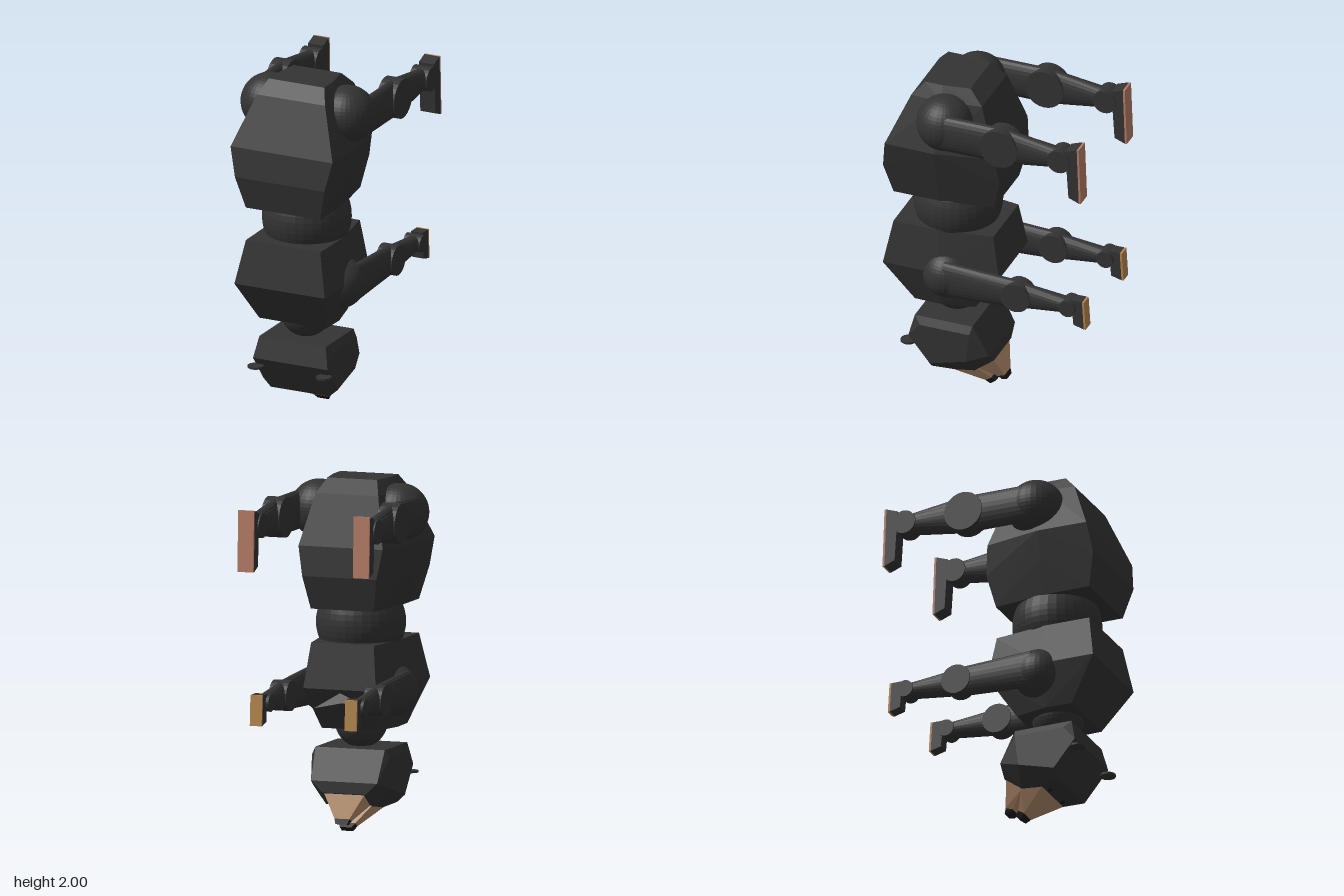
import * as THREE from 'three';
import { ConvexGeometry } from 'three/addons/geometries/ConvexGeometry.js';

const paint = (color) => new THREE.MeshStandardMaterial({ color, flatShading: true });
const fur = paint(0x333333);
const muzzleTan = paint(0xb8906e);
const hindSole = paint(0xb87e68);
const foreSole = paint(0xb88750);
const pale = paint(0xcccccc);
pale.side = THREE.DoubleSide;
const noseBlack = paint(0x1c1c1c);

export function createModel() {
  const model = new THREE.Group();

  function add(name, geometry, material, parent = model) {
    const mesh = new THREE.Mesh(geometry, material);
    mesh.name = name;
    parent.add(mesh);
    return mesh;
  }

  // Faceted solid, mirrored in x, from [halfWidth, y, z] corners
  function hull(name, corners, material, parent) {
    const pts = [];
    for (const [x, y, z] of corners) {
      pts.push(new THREE.Vector3(x, y, z), new THREE.Vector3(-x, y, z));
    }
    return add(name, new ConvexGeometry(pts), material, parent);
  }

  function ball(name, r, x, y, z, parent) {
    add(name, new THREE.SphereGeometry(r, 32, 24), fur, parent).position.set(x, y, z);
  }

  // Hexagonal rings: [y, back z, back half width, mid z, mid half width, front z, front half width]
  const rings = (list) => list.flatMap(([y, zb, wb, zm, wm, zf, wf]) =>
    [[wb, y, zb], [wm, y, zm], [wf, y, zf]]);

  // Torso
  hull('hips', rings([
    [2.0, 0.145, 0.15, 0.3, 0.175, 0.41, 0.175],
    [1.92, 0.06, 0.19, 0.3, 0.225, 0.48, 0.215],
    [1.63, -0.04, 0.255, 0.3, 0.327, 0.6, 0.322],
    [1.46, -0.06, 0.225, 0.3, 0.285, 0.625, 0.282],
    [1.27, -0.015, 0.19, 0.3, 0.235, 0.58, 0.235],
  ]), fur);
  ball('waist', 0.255, 0, 1.17, 0.28);
  hull('chest', rings([
    [1.075, -0.01, 0.19, 0.3, 0.237, 0.58, 0.235],
    [0.82, -0.055, 0.22, 0.3, 0.285, 0.625, 0.285],
    [0.575, 0.105, 0.17, 0.3, 0.215, 0.46, 0.21],
  ]), fur);
  ball('neck', 0.15, 0, 0.6, 0.285);

  // Pale chevron lying on the sloping lower chest face
  const chevron = new THREE.Shape([
    [0, -0.02], [0.185, -0.145], [0, -0.095], [-0.185, -0.145],
  ].map(([x, y]) => new THREE.Vector2(x, y)));
  const mark = add('chestMark', new THREE.ShapeGeometry(chevron), pale);
  mark.position.set(0, 0.818, -0.059);
  mark.rotation.x = -Math.atan2(0.16, 0.245);

  // Head, with the face pointing down and backward
  const head = new THREE.Group();
  head.name = 'head';
  model.add(head);
  hull('skull', [
    [0.21, 0.465, 0.46], [0.21, 0.465, 0.11],
    [0.235, 0.42, 0.42], [0.235, 0.42, 0.12],
    [0.235, 0.34, 0.49], [0.2, 0.285, 0.015],
    [0.235, 0.18, 0.36], [0.235, 0.24, 0.14],
    [0.185, 0.135, 0.365], [0.15, 0.12, 0.24],
    [0.15, 0.14, 0.12], [0.13, 0.22, 0.01],
  ], fur, head);
  hull('upperMuzzle', [
    [0.15, 0.12, 0.25], [0.13, 0.145, 0.115],
    [0.05, 0.025, 0.095], [0.05, 0.047, 0.06],
  ], muzzleTan, head);
  hull('nose', [
    [0.05, 0.025, 0.095], [0.05, 0.047, 0.06],
    [0.035, 0.0, 0.07], [0.035, 0.025, 0.037],
  ], noseBlack, head);
  hull('lowerJaw', [
    [0.12, 0.145, 0.115], [0.125, 0.222, 0.018],
    [0.045, 0.065, 0.022], [0.045, 0.08, -0.02],
  ], muzzleTan, head);
  hull('chinTip', [
    [0.045, 0.065, 0.022], [0.045, 0.08, -0.02],
    [0.035, 0.045, 0.0], [0.035, 0.05, -0.03],
  ], noseBlack, head);

  // One limb reaching backward: flattened tapering segments with disc joints
  function limb(name, side, s) {
    const group = new THREE.Group();
    group.name = name;
    model.add(group);
    const half = s.half;
    const x = side * s.x;

    function segment(part, z0, r0, z1, r1) {
      const g = new THREE.CylinderGeometry(r1, r0, z0 - z1, 24);
      g.rotateX(-Math.PI / 2);
      // Keep an even thickness sideways while the height tapers
      const p = g.attributes.position;
      for (let i = 0; i < p.count; i++) {
        const r = p.getZ(i) > 0 ? r0 : r1;
        p.setX(i, p.getX(i) * half / r);
      }
      g.computeVertexNormals();
      add(part, g, fur, group).position.set(x, s.y, (z0 + z1) / 2);
    }
    function joint(part, z, r) {
      const g = new THREE.CylinderGeometry(r, r, half * 2 + 0.012, 24);
      g.rotateZ(Math.PI / 2);
      add(part, g, fur, group).position.set(x, s.y, z);
    }
    // Block with a side outline of [y, z] corners
    function slab(part, outline, material) {
      const w = s.footHalf;
      const pts = outline.flatMap(([y, z]) =>
        [new THREE.Vector3(x - w, y, z), new THREE.Vector3(x + w, y, z)]);
      add(part, new ConvexGeometry(pts), material, group);
    }

    ball('socket', s.ball, side * s.ballX, s.y + s.lift, 0.26, group);
    segment('upperLimb', 0.25, s.radii[0], s.midZ, s.radii[1]);
    joint('middleJoint', s.midZ, s.midR);
    segment('lowerLimb', s.midZ, s.radii[2], s.endZ, s.radii[3]);
    joint('endJoint', s.endZ, s.endR);
    const [a, b, c, d] = s.foot;
    const t = 0.012;
    slab('foot', [a, [b[0], b[1] + t], [c[0], c[1] + t], d], fur);
    slab('sole', [[b[0], b[1] + t], b, c, [c[0], c[1] + t]], s.sole);
  }

  const hind = {
    x: 0.35, y: 1.8, half: 0.05, footHalf: 0.048, ball: 0.165, ballX: 0.245, lift: 0.007,
    radii: [0.112, 0.112, 0.115, 0.06], midZ: -0.125, midR: 0.116, endZ: -0.49, endR: 0.07,
    foot: [[1.875, -0.53], [1.9, -0.612], [1.55, -0.625], [1.575, -0.55]], sole: hindSole,
  };
  const fore = {
    x: 0.287, y: 0.795, half: 0.047, footHalf: 0.036, ball: 0.15, ballX: 0.195, lift: -0.005,
    radii: [0.112, 0.088, 0.084, 0.045], midZ: -0.2, midR: 0.088, endZ: -0.515, endR: 0.05,
    foot: [[0.85, -0.535], [0.85, -0.614], [0.675, -0.625], [0.692, -0.55]], sole: foreSole,
  };
  for (const side of [1, -1]) {
    const label = side > 0 ? 'left' : 'right';
    limb(label + 'HindLeg', side, hind);
    limb(label + 'ForeLeg', side, fore);
    // Thin round ears and small eyes
    const ear = add(label + 'Ear', new THREE.CylinderGeometry(0.045, 0.045, 0.012, 20), fur, head);
    ear.position.set(side * 0.215, 0.295, 0.497);
    const eye = add(label + 'Eye', new THREE.SphereGeometry(0.016, 12, 8), noseBlack, head);
    eye.position.set(side * 0.09, 0.126, 0.27);
  }
  return model;
}
